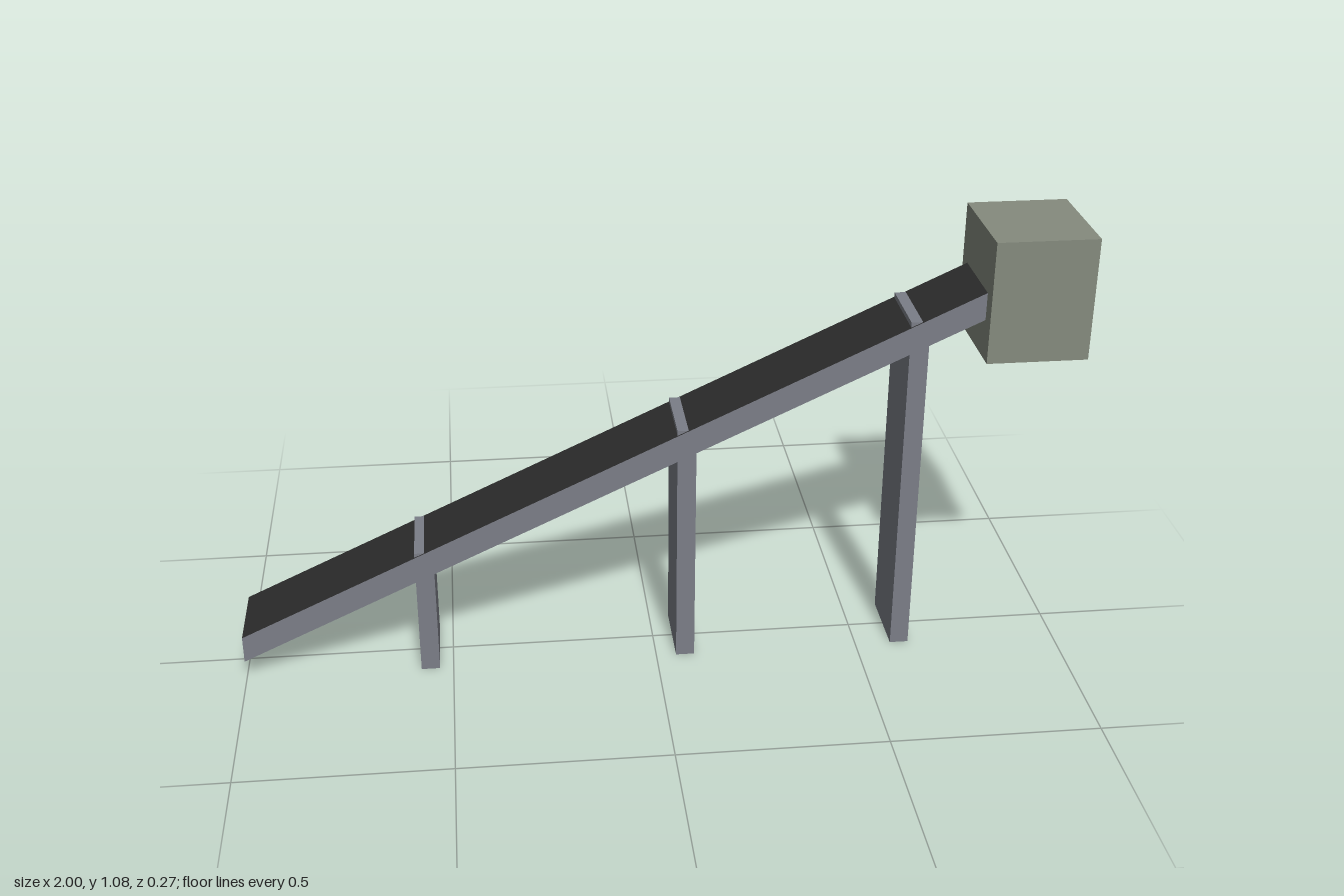
import * as THREE from 'three';

export function createModel() {
  const model = new THREE.Group();
  model.name = 'conveyor';

  const steel = new THREE.MeshStandardMaterial({ name: 'steel grey', color: 0x7b7e87, side: THREE.DoubleSide });
  const rubber = new THREE.MeshStandardMaterial({ name: 'belt black', color: 0x2b2b2b, side: THREE.DoubleSide });
  const housing = new THREE.MeshStandardMaterial({ name: 'housing olive', color: 0x858b7e });

  const x0 = -1, x1 = 0.77, halfWidth = 0.094, depth = 0.067;
  const beltY = (x) => 0.12 + (x + 1) * 0.465;

  function add(name, geometry, material, x = 0, y = 0, z = 0) {
    const mesh = new THREE.Mesh(geometry, material);
    mesh.name = name;
    mesh.position.set(x, y, z);
    model.add(mesh);
  }

  // Box spanning the given x and y ranges, centred on z
  function addBlock(name, material, xa, xb, ya, yb, width) {
    add(name, new THREE.BoxGeometry(xb - xa, yb - ya, width), material, (xa + xb) / 2, (ya + yb) / 2);
  }

  // Sloping belt surface, sheared up along x
  const belt = new THREE.PlaneGeometry(x1 - x0, halfWidth * 2).rotateX(-Math.PI / 2);
  belt.translate((x0 + x1) / 2, 0, 0);
  const p = belt.attributes.position;
  for (let i = 0; i < p.count; i++) p.setY(i, beltY(p.getX(i)));
  belt.computeVertexNormals();
  add('belt', belt, rubber);

  // Thin side skirts hanging from both belt edges
  const skirt = new THREE.Shape([
    new THREE.Vector2(x0, beltY(x0) - depth),
    new THREE.Vector2(x1, beltY(x1) - depth),
    new THREE.Vector2(x1, beltY(x1)),
    new THREE.Vector2(x0, beltY(x0)),
  ]);
  add('leftSkirt', new THREE.ShapeGeometry(skirt), steel, 0, 0, halfWidth);
  add('rightSkirt', new THREE.ShapeGeometry(skirt).rotateY(Math.PI).scale(-1, 1, 1), steel, 0, 0, -halfWidth);

  // Support legs, poking slightly through the belt
  const legs = [[-0.578, 0.327], [0.049, 0.62], [0.588, 0.871]];
  legs.forEach(([x, top], i) => addBlock(`supportLeg${i + 1}`, steel, x, x + 0.045, 0, top, 0.181));

  // Head housing at the upper end
  addBlock('headHousing', housing, 0.76, 1, 0.778, 1.075, 0.266);

  return model;
}
